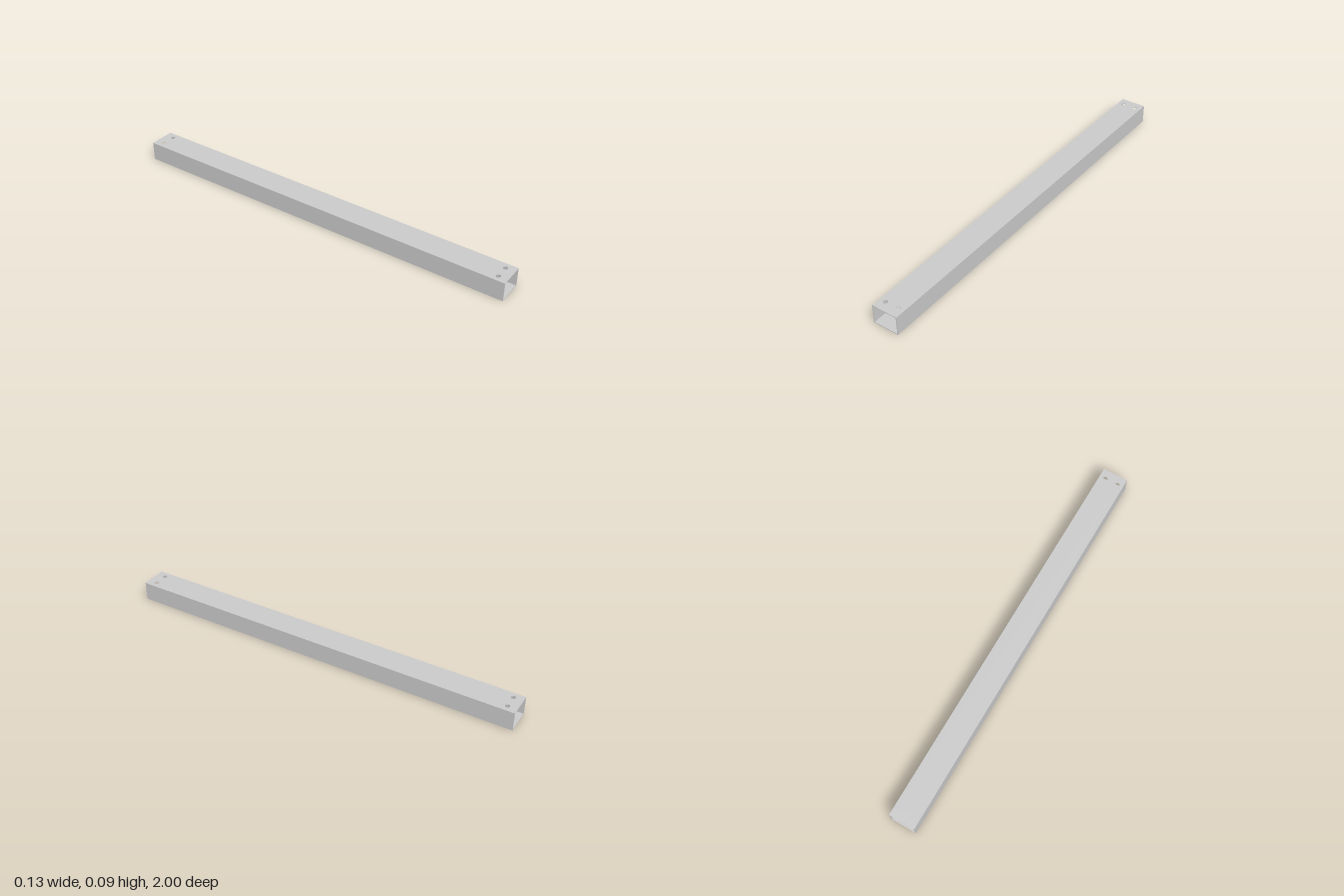
import * as THREE from 'three';

const WIDTH = 0.13, HEIGHT = 0.095, LENGTH = 2, WALL = 0.0035;
const HOLE_X = 0.034, HOLE_Z = 0.953, HOLE_R = 0.011;

export function createModel() {
  const group = new THREE.Group();
  group.name = 'rectangularTube';
  const material = new THREE.MeshStandardMaterial({ color: 0xcccccc });
  const add = (name, geometry) => {
    const mesh = new THREE.Mesh(geometry, material);
    mesh.name = name;
    group.add(mesh);
    return mesh;
  };

  // Floor and side walls: a U section extruded along the length
  const w = WIDTH / 2, i = w - WALL, top = HEIGHT - WALL;
  const section = new THREE.Shape([
    [-w, 0], [w, 0], [w, top], [i, top], [i, WALL], [-i, WALL], [-i, top], [-w, top],
  ].map(([x, y]) => new THREE.Vector2(x, y)));
  const channel = new THREE.ExtrudeGeometry(section, { depth: LENGTH, bevelEnabled: false });
  channel.translate(0, 0, -LENGTH / 2);
  add('floorAndSideWalls', channel);

  // Top wall with a pair of bolt holes near each end
  const l = LENGTH / 2;
  const plate = new THREE.Shape([
    [-w, -l], [w, -l], [w, l], [-w, l],
  ].map(([x, y]) => new THREE.Vector2(x, y)));
  for (const sx of [-1, 1]) {
    for (const sz of [-1, 1]) {
      plate.holes.push(new THREE.Path().absarc(sx * HOLE_X, sz * HOLE_Z, HOLE_R, 0, Math.PI * 2, true));
    }
  }
  const topWall = new THREE.ExtrudeGeometry(plate, { depth: WALL, bevelEnabled: false, curveSegments: 24 });
  topWall.rotateX(-Math.PI / 2);
  add('topWall', topWall).position.y = top;

  return group;
}
